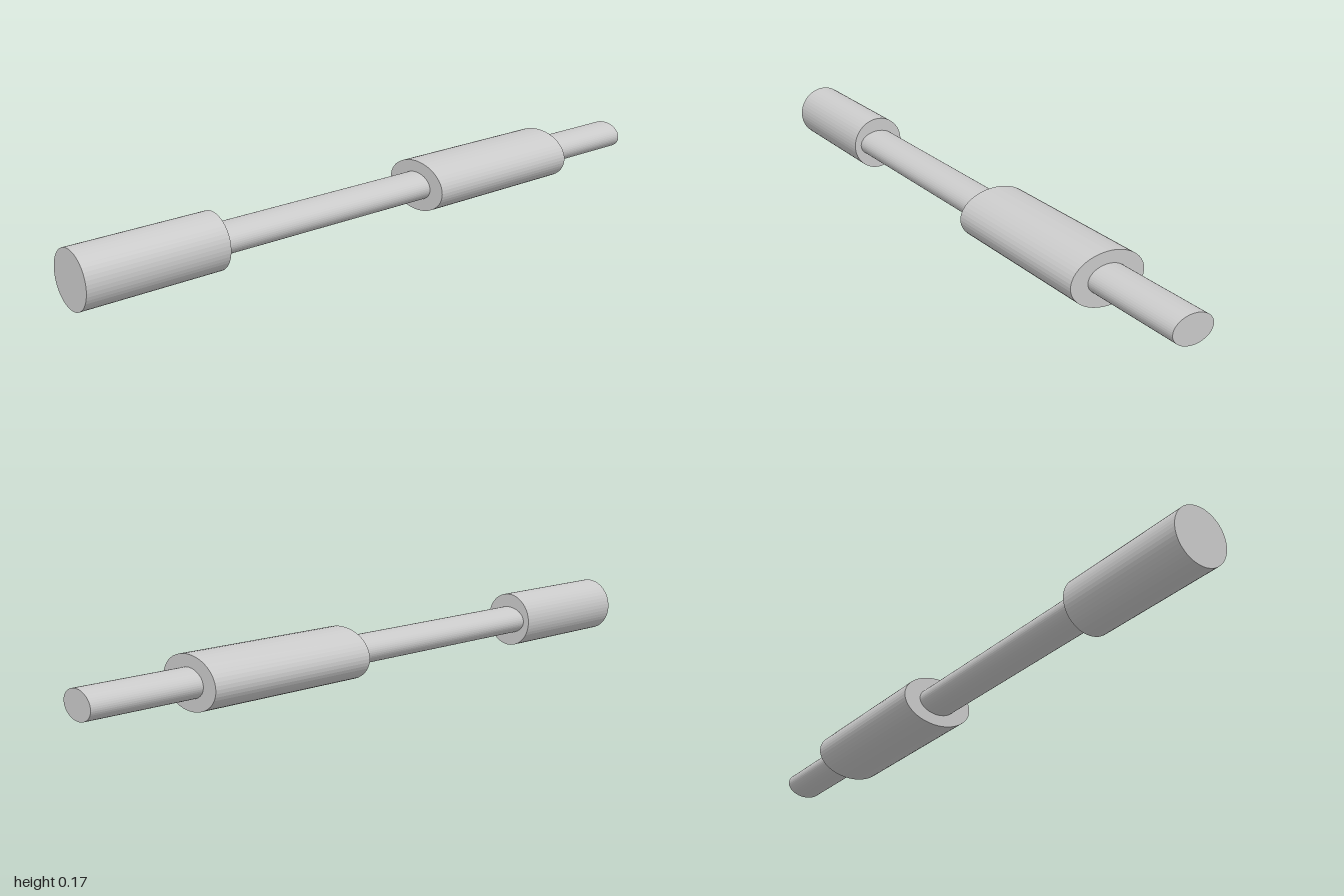
import * as THREE from 'three';

const CENTRE_Y = 0.083;

export function createModel() {
  const group = new THREE.Group();
  const material = new THREE.MeshStandardMaterial({ color: 0xcccccc, flatShading: true });

  // Closed elliptical cylinder lying along z between two ends
  function addBar(name, halfWidth, halfHeight, zBack, zFront) {
    const geometry = new THREE.CylinderGeometry(1, 1, zFront - zBack, 48);
    geometry.rotateX(Math.PI / 2);
    geometry.scale(halfWidth, halfHeight, 1);
    const mesh = new THREE.Mesh(geometry, material);
    mesh.name = name;
    mesh.position.set(0, CENTRE_Y, (zBack + zFront) / 2);
    group.add(mesh);
  }

  // Oval rod running through the oval sleeve into the round end
  addBar('rod', 0.062, 0.0415, -1, 0.6);
  addBar('sleeve', 0.115, 0.076, -0.672, -0.141);
  addBar('roundEnd', 0.083, 0.083, 0.58, 1);

  return group;
}
